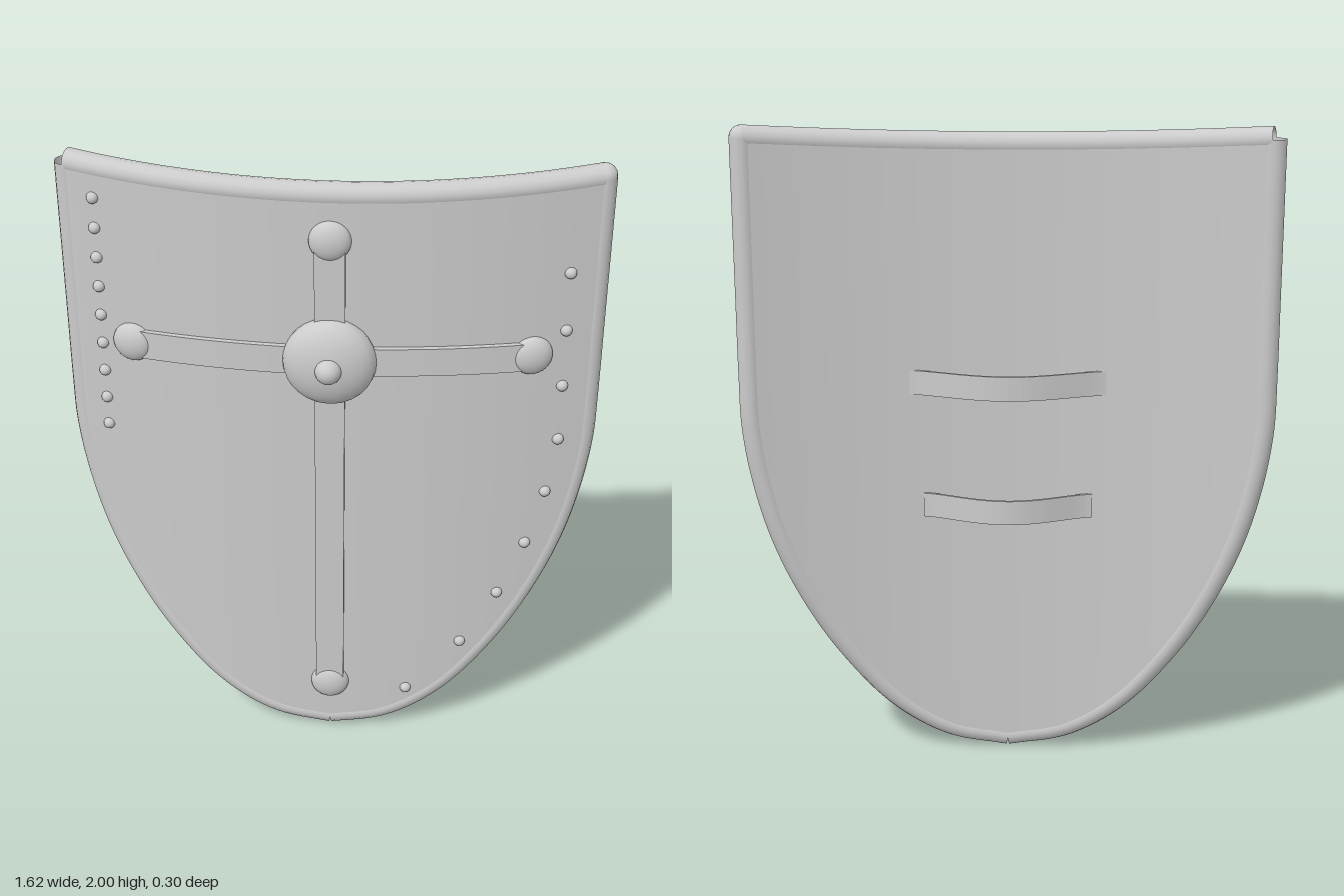
import * as THREE from 'three';

const HALF = 0.772, CORNER_Y = 1.965, RIM = 0.037, SKIN = 0.034;
const surfaceZ = (x) => -0.115 * (x / HALF) ** 2;
const slope = (x) => -0.23 * x / HALF ** 2;

// Right half of the outline, from the lower tip up to the top corner
const outline = new THREE.CatmullRomCurve3([
  [0, 0.04], [0.18, 0.075], [0.345, 0.178], [0.505, 0.365], [0.615, 0.55], [0.695, 0.74],
  [0.745, 0.93], [0.769, 1.1], [HALF, 1.25], [HALF, 1.5], [HALF, 1.75], [HALF, CORNER_Y],
].map(([x, y]) => new THREE.Vector3(x, y, 0)));

export function createModel() {
  const model = new THREE.Group();
  const material = new THREE.MeshStandardMaterial({ color: 0xcccccc, side: THREE.DoubleSide });
  const add = (name, geometry, x = 0, y = 0, z = 0) => {
    const mesh = new THREE.Mesh(geometry, material);
    mesh.name = name;
    mesh.position.set(x, y, z);
    model.add(mesh);
    return mesh;
  };
  // Moves every vertex of a geometry by a rule
  const reshape = (geometry, rule) => {
    const p = geometry.attributes.position, v = new THREE.Vector3();
    for (let i = 0; i < p.count; i++) {
      rule(v.fromBufferAttribute(p, i));
      p.setXYZ(i, v.x, v.y, v.z);
    }
    geometry.computeVertexNormals();
    return geometry;
  };
  // A flattened dome lying on the curved face
  const dome = (name, x, y, radius, depth, lift = 0) => {
    const n = new THREE.Vector3(-slope(x), 0, 1).normalize();
    const d = SKIN + lift;
    const mesh = add(name, new THREE.SphereGeometry(radius, 24, 16), x + n.x * d, y, surfaceZ(x) + n.z * d);
    mesh.scale.z = depth / radius;
    mesh.rotation.y = Math.atan2(n.x, n.z);
  };

  // Curved body: a front and a back skin
  for (const side of [1, -1]) {
    const sheet = new THREE.PlaneGeometry(2, 1, 32, 48);
    if (side < 0) sheet.rotateY(Math.PI);
    add(side > 0 ? 'frontPanel' : 'backPanel', reshape(sheet, (v) => {
      const u = v.x, edge = outline.getPointAt(THREE.MathUtils.clamp(v.y + 0.5, 0, 1));
      const dip = 0.03 * (1 - u * u) * Math.max(0, (edge.y - 1.2) / (CORNER_Y - 1.2));
      const x = u * edge.x, n = new THREE.Vector3(-slope(x), 0, 1).normalize();
      v.set(x + side * SKIN * n.x, edge.y - dip, surfaceZ(x) + side * SKIN * n.z);
    }));
  }

  // Rounded rim: two sides meeting at the tip, and the dipped top
  const rim = (name, points) => add(name,
    new THREE.TubeGeometry(new THREE.CatmullRomCurve3(points), 80, RIM, 14));
  for (const s of [1, -1]) {
    rim(s > 0 ? 'leftRim' : 'rightRim', outline.getPoints(44).map((p) =>
      new THREE.Vector3(s * p.x, p.y, surfaceZ(p.x))));
  }
  rim('topRim', Array.from({ length: 17 }, (_, i) => {
    const u = i / 8 - 1;
    return new THREE.Vector3(u * HALF, CORNER_Y - 0.03 * (1 - u * u), surfaceZ(u * HALF));
  }));
  add('rimCorner', new THREE.SphereGeometry(RIM, 16, 12), HALF, CORNER_Y, surfaceZ(HALF));

  // Cross bands with domed ends
  add('verticalBand', new THREE.BoxGeometry(0.09, 1.6, 0.03), 0, 1, 0.036);
  const across = new THREE.BoxGeometry(1.18, 0.09, 0.03, 32, 1, 1).toNonIndexed();
  add('horizontalBand', reshape(across, (v) => { v.z += surfaceZ(v.x); }), 0, 1.42, 0.036);
  for (const [x, y] of [[0, 1.805], [0, 0.2], [0.59, 1.42], [-0.59, 1.42]]) {
    dome('bandEnd', x, y, 0.062, 0.033);
  }

  // Central boss and its knob
  dome('boss', 0, 1.42, 0.14, 0.068, 0.012);
  dome('bossKnob', 0, 1.42, 0.04, 0.04, 0.072);

  // Rivets: a close row on one side, a wide row following the outline on the other
  for (let i = 0; i < 9; i++) dome('rightRivet', -0.685, 1.875 - i * 0.095, 0.018, 0.018);
  const rivetX = [0.685, 0.685, 0.685, 0.685, 0.657, 0.605, 0.527, 0.417, 0.247];
  rivetX.forEach((x, i) => dome('leftRivet', x, 1.683 - i * 0.1885, 0.018, 0.018));

  // Two arched straps on the back
  for (const [name, y, half] of [['upperStrap', 1.22, 0.3], ['lowerStrap', 0.83, 0.26]]) {
    const strap = new THREE.BoxGeometry(half * 2, 0.075, 0.01, 28, 1, 1).toNonIndexed();
    add(name, reshape(strap, (v) => {
      const c = Math.max(0, Math.cos(v.x / half * Math.PI / 2));
      v.z += -0.047 - 0.082 * c ** 1.4;
    }), 0, y, 0);
  }
  return model;
}
